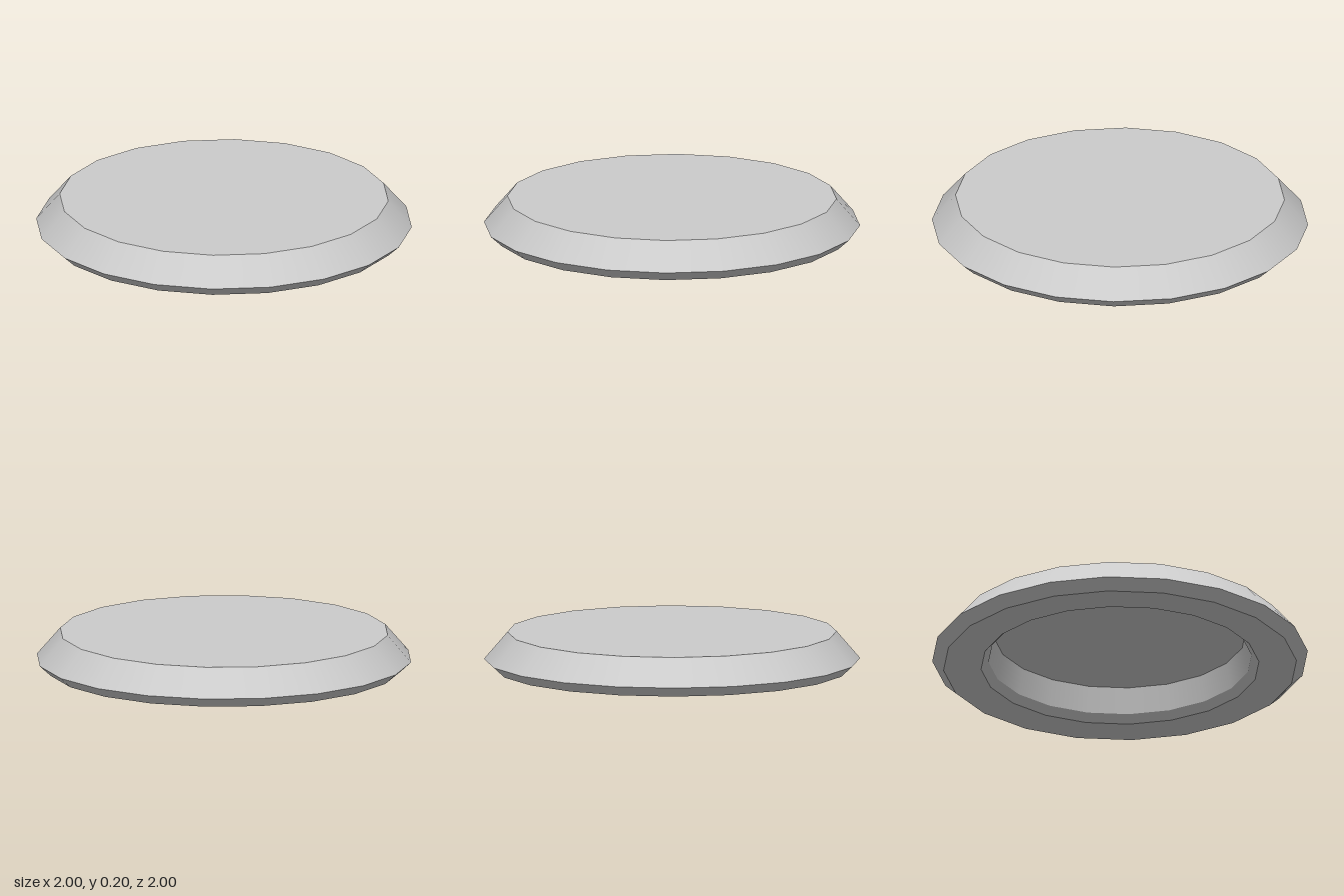
import * as THREE from 'three';

const SIDES = 20;

// Cross-section of the disc, from the centre of the recess round to the centre of the top
const PROFILE = [
  [0, 0.18],      // recess ceiling
  [0.67, 0.18],
  [0.70, 0.04],   // recess wall
  [0.74, 0],      // inner bevel
  [0.94, 0],      // foot ring
  [1, 0.055],     // lower bevel
  [0.875, 0.2],   // upper bevel
  [0, 0.2],       // top face
];

const NAMES = ['recessCeiling', 'recessWall', 'innerBevel', 'footRing', 'lowerBevel', 'upperBevel', 'topFace'];

export function createModel() {
  const disc = new THREE.Group();
  disc.name = 'disc';
  const material = new THREE.MeshStandardMaterial({ color: 0xcccccc });

  // One band per profile segment: smooth around the disc, sharp between bands
  NAMES.forEach((name, i) => {
    const points = [PROFILE[i], PROFILE[i + 1]].map(([r, y]) => new THREE.Vector2(r, y));
    const band = new THREE.Mesh(new THREE.LatheGeometry(points, SIDES), material);
    band.name = name;
    disc.add(band);
  });
  return disc;
}
